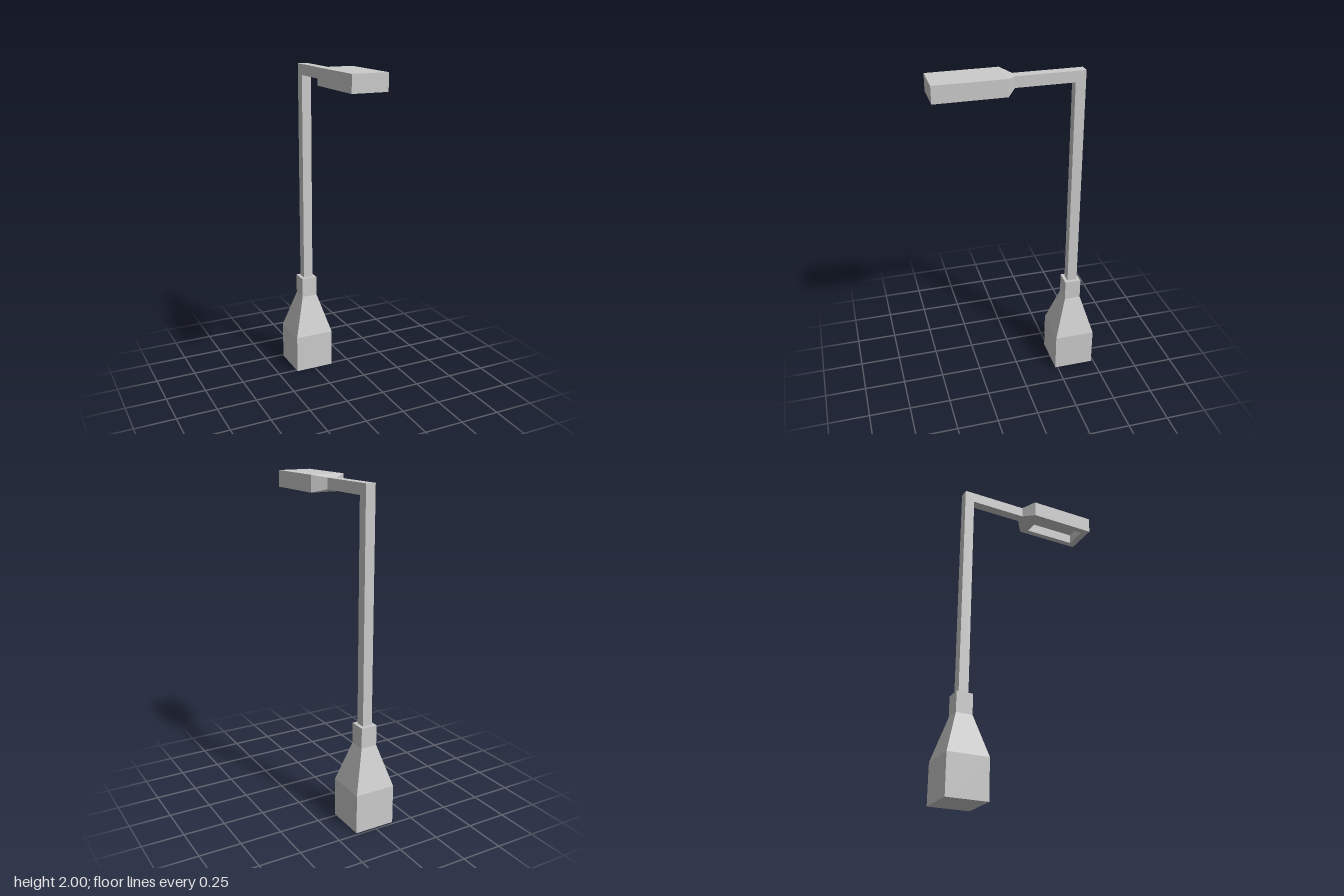
import * as THREE from 'three';

const material = new THREE.MeshStandardMaterial({ color: 0xcccccc, flatShading: true });

// Rectangular sections [width, depth, y] joined bottom to top, with optional end caps
function loft(sections, capped = true) {
  const rings = sections.map(([w, d, y]) => [
    [-w / 2, y, d / 2], [w / 2, y, d / 2], [w / 2, y, -d / 2], [-w / 2, y, -d / 2],
  ]);
  const points = [];
  const quad = (a, b, c, d) => points.push(...a, ...b, ...c, ...a, ...c, ...d);
  for (let i = 0; i < rings.length - 1; i++) {
    const lower = rings[i], upper = rings[i + 1];
    for (let j = 0; j < 4; j++) {
      const k = (j + 1) % 4;
      quad(lower[j], lower[k], upper[k], upper[j]);
    }
  }
  if (capped) {
    const first = rings[0], last = rings[rings.length - 1];
    quad(first[3], first[2], first[1], first[0]);
    quad(...last);
  }
  const geometry = new THREE.BufferGeometry();
  geometry.setAttribute('position', new THREE.Float32BufferAttribute(points, 3));
  geometry.computeVertexNormals();
  return geometry;
}

export function createModel() {
  const model = new THREE.Group();
  model.name = 'streetLamp';
  const add = (name, geometry, y = 0, z = 0) => {
    const mesh = new THREE.Mesh(geometry, material);
    mesh.name = name;
    mesh.position.set(0, y, z);
    model.add(mesh);
  };

  // Square plinth tapering to a collar
  add('base', loft([
    [0.25, 0.25, 0], [0.25, 0.25, 0.24], [0.1, 0.1, 0.49], [0.1, 0.1, 0.615],
  ]), 0, -0.36);

  // Upright and horizontal arm in one L-shaped bar
  const bar = new THREE.Shape([
    [-0.39, 0.6], [-0.33, 0.6], [-0.33, 1.92], [0.015, 1.92], [0.015, 1.985], [-0.39, 1.985],
  ].map(([z, y]) => new THREE.Vector2(z, y)));
  const barGeometry = new THREE.ExtrudeGeometry(bar, { depth: 0.06, bevelEnabled: false });
  barGeometry.translate(0, 0, -0.03).rotateY(-Math.PI / 2);
  add('poleAndArm', barGeometry);

  // Flare from the arm to the lamp head
  const neck = loft([[0.06, 0.065, 0.015], [0.214, 0.1, 0.07]], false);
  neck.rotateX(Math.PI / 2);
  // Keep the arm end of the flare level with the arm
  const p = neck.attributes.position;
  for (let i = 0; i < p.count; i++) {
    if (p.getZ(i) < 0.04) p.setY(i, p.getY(i) + 0.0025);
  }
  neck.computeVertexNormals();
  add('neck', neck, 1.95);

  // Lamp head, hollowed from below
  add('lampHead', loft([
    [0.142, 0.325, 0.062], [0.142, 0.325, 0], [0.214, 0.413, 0], [0.214, 0.413, 0.1],
  ]), 1.9, 0.2765);

  return model;
}
